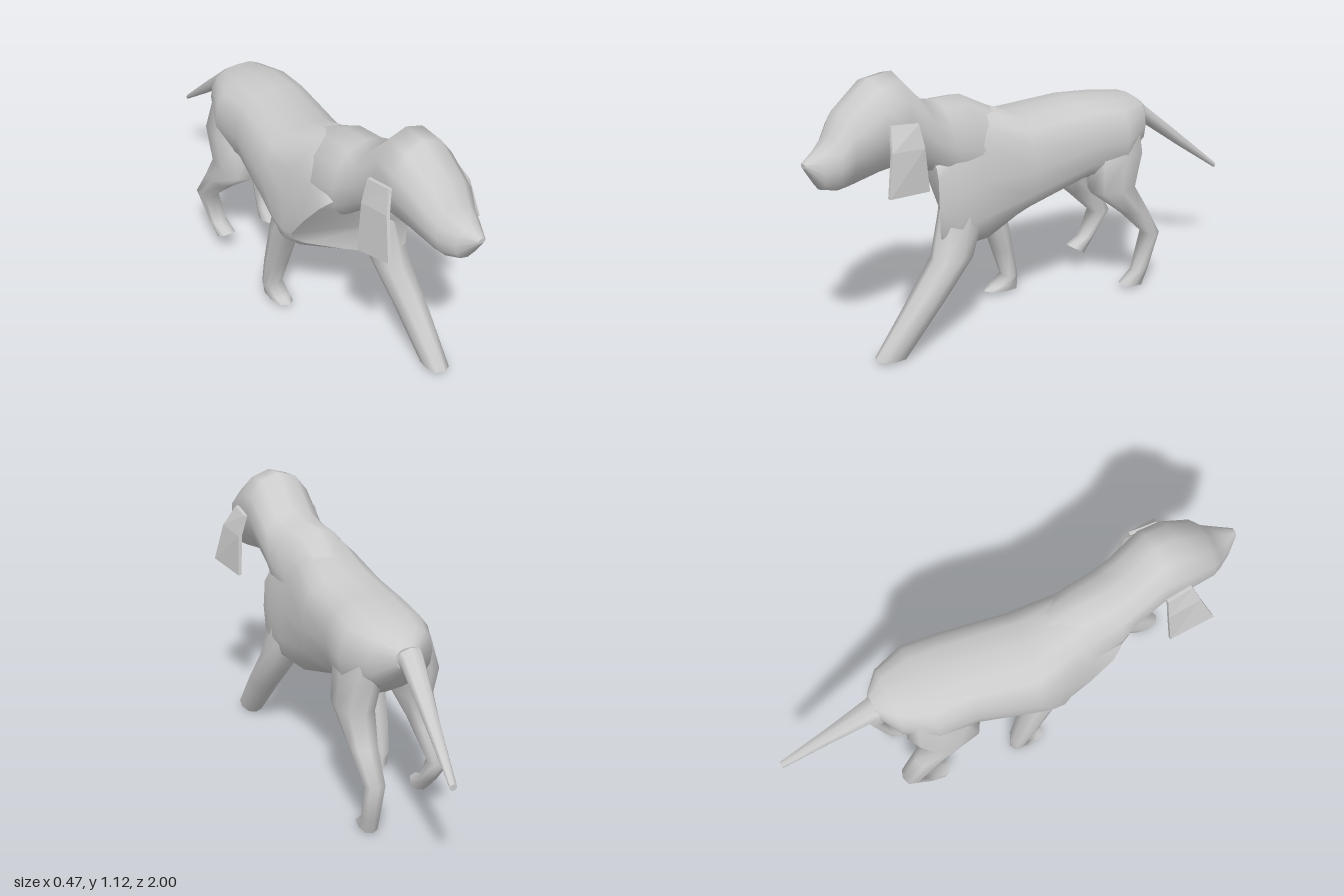
import * as THREE from 'three';

const material = new THREE.MeshStandardMaterial({ color: 0xcccccc, side: THREE.DoubleSide });

// Skin a tube through rings, with flat separate caps.
function loft(name, rings) {
  const n = rings[0].length, pos = [], idx = [];
  rings.forEach(r => r.forEach(p => pos.push(...p)));
  for (let i = 0; i < rings.length - 1; i++) {
    for (let j = 0; j < n; j++) {
      const k = (j + 1) % n, a = i * n + j, b = i * n + k;
      idx.push(a, b, b + n, a, b + n, a + n);
    }
  }
  [rings[0], rings[rings.length - 1]].forEach((r, end) => {
    const base = pos.length / 3;
    r.forEach(p => pos.push(...p));
    for (let j = 1; j < n - 1; j++) {
      if (end) idx.push(base, base + j, base + j + 1);
      else idx.push(base, base + j + 1, base + j);
    }
  });
  const g = new THREE.BufferGeometry();
  g.setAttribute('position', new THREE.Float32BufferAttribute(pos, 3));
  g.setIndex(idx);
  g.computeVertexNormals();
  const mesh = new THREE.Mesh(g, material);
  mesh.name = name;
  return mesh;
}

const soft = (v, e) => Math.sign(v) * Math.abs(v) ** e;

// Upright rings along z: [z, bottom, top, xMin, xMax, e, egg, skew].
// A small e squares the ring; egg > 0 widens the upper half, egg < 0 narrows it;
// skew draws the right side back, most of all at the bottom.
function alongZ(sections, n) {
  return sections.map(([z, y0, y1, x0, x1, e = 0.8, egg = 0, skew = 0]) => Array.from({ length: n }, (_, j) => {
    const t = (j / n) * Math.PI * 2, s = soft(Math.sin(t), e), c = soft(Math.cos(t), e);
    return [
      (x0 + x1) / 2 + (x1 - x0) / 2 * c * (1 + egg * s),
      (y0 + y1) / 2 + (y1 - y0) / 2 * s,
      z - skew * (1 - c) / 2 * (0.6 - 0.4 * s),
    ];
  }));
}

// Level rings from top to bottom: [y, zBack, zFront, xMin, xMax, tilt]; tilt raises the front.
function alongY(sections) {
  return sections.map(([y, z0, z1, x0, x1, tilt = 0]) => Array.from({ length: 8 }, (_, j) => {
    const t = (j / 8) * Math.PI * 2, s = soft(Math.sin(t), 0.8);
    return [
      (x0 + x1) / 2 + (x1 - x0) / 2 * soft(Math.cos(t), 0.8),
      y + tilt * s,
      (z0 + z1) / 2 + (z1 - z0) / 2 * s,
    ];
  }));
}

// Thin hanging ear flap, faceted; levels from top to bottom: [yBack, yFront, zBack, zFront, xBack, xFront].
function ear(name, side, levels) {
  const rings = levels.map(([yb, yf, zb, zf, xb, xf]) => {
    const ring = [[xb, yb, zb], [xf, yf, zf], [xf - 0.015, yf, zf], [xb - 0.015, yb, zb]]
      .map(([x, y, z]) => [side * x, y, z]);
    return side > 0 ? ring : ring.reverse();
  });
  const mesh = loft(name, rings);
  mesh.geometry = mesh.geometry.toNonIndexed();
  mesh.geometry.computeVertexNormals();
  return mesh;
}

export function createModel() {
  const dog = new THREE.Group();
  dog.name = 'walkingDog';

  // Torso from rump to chest; the right shoulder lies further back than the left
  dog.add(loft('torso', alongZ([
    [-0.585, 0.7, 0.785, -0.03, 0.07],
    [-0.52, 0.61, 0.832, -0.12, 0.15],
    [-0.39, 0.52, 0.85, -0.185, 0.205],
    [-0.23, 0.52, 0.866, -0.19, 0.185],
    [0.05, 0.435, 0.848, -0.235, 0.155, 0.75, 0, 0.05],
    [0.28, 0.36, 0.935, -0.225, 0.145, 0.75, -0.2, 0.24],
    [0.4, 0.365, 0.87, -0.22, 0.145, 0.65, -0.15, 0.33],
    [0.485, 0.395, 0.765, -0.21, 0.13, 0.5, 0, 0.38],
  ], 16)));

  // Neck and head run together into the muzzle
  dog.add(loft('neckAndHead', alongZ([
    [0.02, 0.6, 0.82, -0.13, 0.08],
    [0.28, 0.58, 0.962, -0.19, 0.125, 0.9, -0.15],
    [0.4, 0.64, 0.965, -0.18, 0.13, 0.9, -0.1],
    [0.48, 0.71, 0.985, -0.155, 0.13, 0.9],
    [0.6, 0.75, 1.12, -0.145, 0.14, 1, 0.1],
    [0.7, 0.735, 1.11, -0.14, 0.14, 1.05, 0.2],
    [0.83, 0.715, 1.01, -0.11, 0.125, 1, 0.2],
    [0.88, 0.715, 0.925, -0.08, 0.105, 0.9, 0.15],
    [0.94, 0.735, 0.885, -0.04, 0.085, 0.9],
    [1.0, 0.83, 0.85, 0.012, 0.045],
  ], 12)));

  // Ears hang off the head and splay outwards
  dog.add(ear('leftEar', 1, [
    [0.955, 0.965, 0.59, 0.705, 0.165, 0.155],
    [0.87, 0.88, 0.585, 0.73, 0.195, 0.205],
    [0.7, 0.72, 0.575, 0.765, 0.205, 0.235],
  ]));
  dog.add(ear('rightEar', -1, [
    [0.955, 0.965, 0.59, 0.7, 0.165, 0.155],
    [0.86, 0.88, 0.59, 0.73, 0.19, 0.185],
    [0.665, 0.72, 0.605, 0.79, 0.215, 0.22],
  ]));

  // Front legs: left reaches forward, right trails under the body
  dog.add(loft('leftFrontLeg', alongY([
    [0.7, 0.24, 0.42, 0.01, 0.125],
    [0.52, 0.26, 0.46, 0.02, 0.15],
    [0.36, 0.33, 0.5, 0.03, 0.17],
    [0.2, 0.47, 0.63, 0.05, 0.165],
    [0.01, 0.645, 0.775, 0.065, 0.15, 0.008],
  ])));
  dog.add(loft('rightFrontLeg', alongY([
    [0.66, 0.06, 0.28, -0.215, -0.1],
    [0.41, 0, 0.11, -0.215, -0.09],
    [0.2, -0.045, 0.035, -0.21, -0.1],
    [0.07, -0.07, -0.01, -0.2, -0.11],
    [0.035, -0.075, 0.05, -0.195, -0.11],
    [0.012, -0.08, 0.085, -0.19, -0.115, 0.008],
  ])));

  // Hind legs: left planted, right lifted
  dog.add(loft('leftHindLeg', alongY([
    [0.76, -0.5, -0.32, 0.04, 0.165],
    [0.62, -0.51, -0.25, 0.05, 0.2],
    [0.48, -0.465, -0.25, 0.06, 0.205],
    [0.36, -0.53, -0.4, 0.09, 0.2],
    [0.235, -0.6, -0.53, 0.1, 0.185],
    [0.07, -0.552, -0.485, 0.1, 0.17],
    [0.01, -0.53, -0.42, 0.095, 0.165, 0.01],
  ])));
  dog.add(loft('rightHindLeg', alongY([
    [0.76, -0.49, -0.3, -0.155, -0.04],
    [0.62, -0.51, -0.24, -0.195, -0.05],
    [0.49, -0.45, -0.2, -0.205, -0.06],
    [0.38, -0.5, -0.34, -0.2, -0.09],
    [0.25, -0.57, -0.48, -0.2, -0.11],
    [0.14, -0.485, -0.425, -0.19, -0.115],
    [0.095, -0.43, -0.36, -0.185, -0.11, 0.022],
  ])));

  // Tapering tail sloping down and back
  dog.add(loft('tail', alongZ([
    [-1.0, 0.405, 0.43, 0.045, 0.075],
    [-0.8, 0.545, 0.605, 0.005, 0.065],
    [-0.6, 0.69, 0.775, -0.04, 0.06],
    [-0.5, 0.72, 0.815, -0.06, 0.08],
  ], 8)));

  return dog;
}
